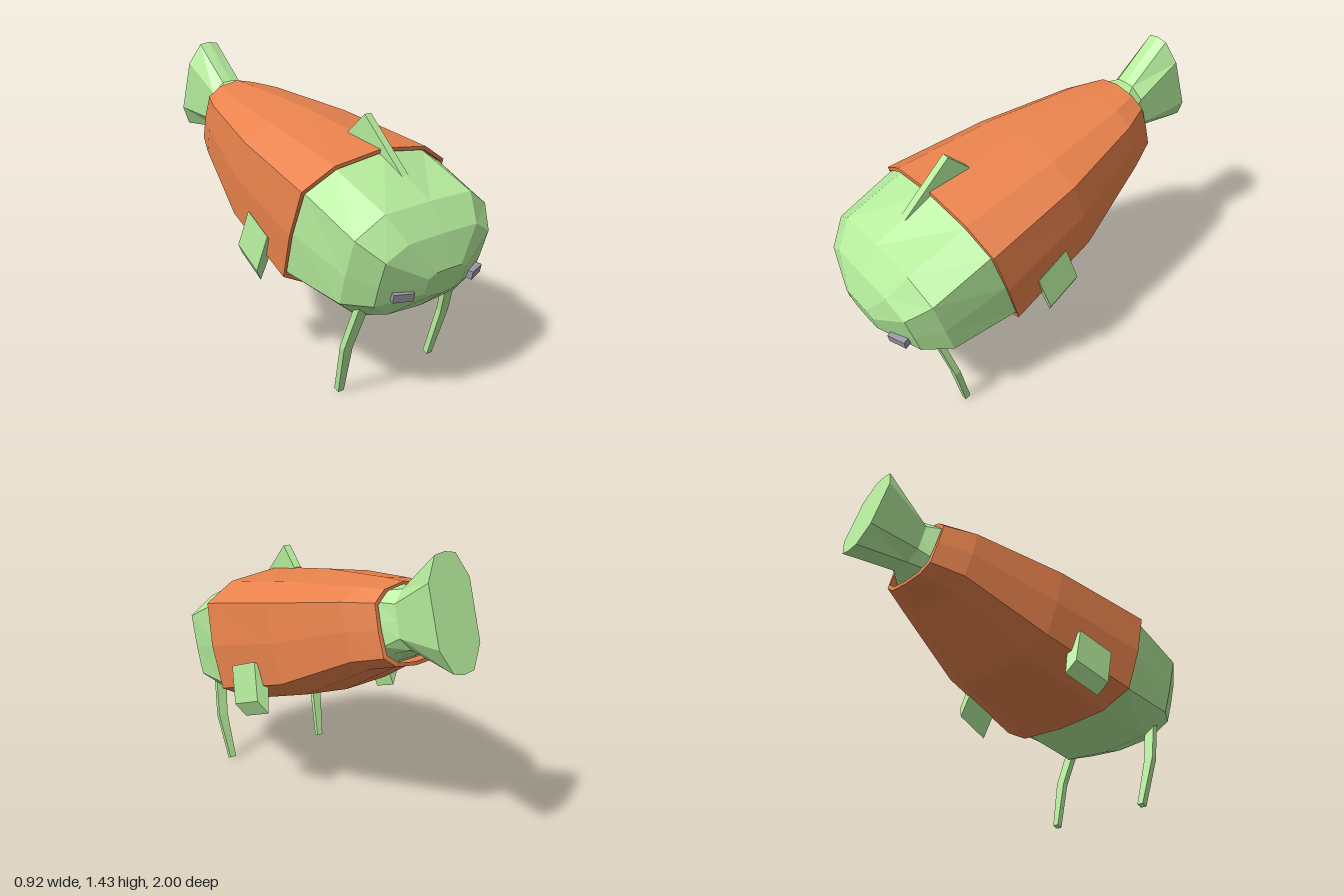
import * as THREE from 'three';

const paint = (color) => new THREE.MeshStandardMaterial({ color, flatShading: true });
const green = paint(0xb4eb9b);
const orange = paint(0xe8824c);
const grey = paint(0x9c96a4);

// Skin a list of equal-length rings (each clockwise as seen from the first end)
function loft(rings, capped = true) {
  const pos = [];
  const tri = (...pts) => pts.forEach((p) => pos.push(...p));
  const n = rings[0].length;
  for (let i = 0; i < rings.length - 1; i++) {
    for (let j = 0; j < n; j++) {
      const k = (j + 1) % n;
      const [a, b, c, d] = [rings[i][j], rings[i][k], rings[i + 1][k], rings[i + 1][j]];
      tri(a, b, c);
      tri(a, c, d);
    }
  }
  if (capped) {
    const first = rings[0], last = rings[rings.length - 1];
    for (let j = 1; j < n - 1; j++) {
      tri(first[0], first[j + 1], first[j]);
      tri(last[0], last[j], last[j + 1]);
    }
  }
  const geometry = new THREE.BufferGeometry();
  geometry.setAttribute('position', new THREE.Float32BufferAttribute(pos, 3));
  geometry.computeVertexNormals();
  return geometry;
}

// Half profiles: [share of half width, share of height], top to bottom
const BODY = [[0, 1], [0.62, 0.94], [0.97, 0.8], [1, 0.48], [0.96, 0.15], [0.62, 0.03], [0, 0]];
const HEAD = [[0, 1], [0.65, 0.99], [1, 0.82], [1, 0.5], [0.98, 0.24], [0.66, 0.05], [0, 0]];
const TAIL = [[0, 1], [0.5, 0.98], [1, 0.77], [1, 0.5], [1, 0.23], [0.5, 0.02], [0, 0]];

// Slanted, mirrored cross-section between a top and a bottom point, pulled in by inset
function section(profile, [zTop, yTop, zBottom, yBottom, width], inset = 0) {
  const top = yTop - inset, bottom = yBottom + inset, w = width - inset;
  const point = (side) => ([u, f]) => [
    side * u * w,
    bottom + (top - bottom) * f,
    zBottom + (zTop - zBottom) * f,
  ];
  return [
    ...profile.map(point(1)),
    ...profile.slice(1, -1).reverse().map(point(-1)),
  ];
}

export function createModel() {
  const model = new THREE.Group();
  const add = (name, geometry, material) => {
    const mesh = new THREE.Mesh(geometry, material);
    mesh.name = name;
    model.add(mesh);
    return mesh;
  };

  // Orange sleeve: [z top, y top, z bottom, y bottom, half width]
  const sleeve = [
    [0.58, 1.10, 0.37, 0.43, 0.46],
    [0.05, 1.19, -0.12, 0.60, 0.38],
    [-0.42, 1.24, -0.53, 0.84, 0.25],
    [-0.57, 1.25, -0.68, 0.89, 0.175],
  ];
  const outer = sleeve.map((s) => section(BODY, s));
  const inner = sleeve.map((s) => section(BODY, s, 0.018)).reverse();
  add('sleeve', loft([...outer, ...inner, outer[0]], false), orange);

  // Head, hidden trunk, neck and flared tail in one skin
  add('body', loft([
    section(HEAD, [1.0, 0.65, 0.96, 0.52, 0.12]),
    section(HEAD, [0.96, 0.80, 0.84, 0.42, 0.325]),
    section(HEAD, [0.87, 0.92, 0.70, 0.375, 0.41]),
    ...sleeve.slice(0, 3).map((s) => section(BODY, s, 0.024)),
    section(BODY, [-0.55, 1.235, -0.64, 0.94, 0.155]),
    section(TAIL, [-0.63, 1.24, -0.71, 0.97, 0.105]),
    section(TAIL, [-0.84, 1.43, -1.0, 0.94, 0.11]),
  ]), green);

  // Back fin, drawn in the z-y plane
  const finShape = new THREE.Shape(
    [[0.72, 1.0], [0.47, 1.24], [0.36, 1.14], [0.36, 1.0]].map(([z, y]) => new THREE.Vector2(z, y)),
  );
  const backFin = new THREE.ExtrudeGeometry(finShape, { depth: 0.04, bevelEnabled: false });
  backFin.rotateY(-Math.PI / 2).translate(0.017, 0, 0);
  add('backFin', backFin, green);

  for (const side of [1, -1]) {
    const label = side > 0 ? 'left' : 'right';

    // Slanted side fin
    const front = [[0.38, 0.63, 0.25], [0.44, 0.69, 0.28], [0.46, 0.505, 0.22], [0.415, 0.44, 0.19]];
    const rear = front.map(([x, y, z]) => [x - 0.03, y + 0.07, z - 0.19]);
    const mirror = (ring) => {
      const out = ring.map(([x, y, z]) => [side * x, y, z]);
      return side > 0 ? out : out.reverse();
    };
    add(label + 'SideFin', loft([mirror(front), mirror(rear)]), green);

    // Bent whisker, tapering to the tip
    const whisker = [
      [0.285, 0.47, 0.762, 0.03],
      [0.315, 0.25, 0.695, 0.026],
      [0.295, 0.0, 0.628, 0.017],
    ].map(([x, y, z, h]) => [[-1, -1], [1, -1], [1, 1], [-1, 1]].map(
      ([a, b]) => [side * x + a * h, y + (1 - b) * 0.006, z + b * 0.014],
    ));
    add(label + 'Whisker', loft(whisker), green);

    // Small block eye
    const eye = add(label + 'Eye', new THREE.BoxGeometry(0.1, 0.04, 0.05), grey);
    eye.position.set(side > 0 ? 0.238 : -0.213, 0.557, 0.925);
    eye.rotation.set(0.2, side * 0.32, 0);
  }
  return model;
}
